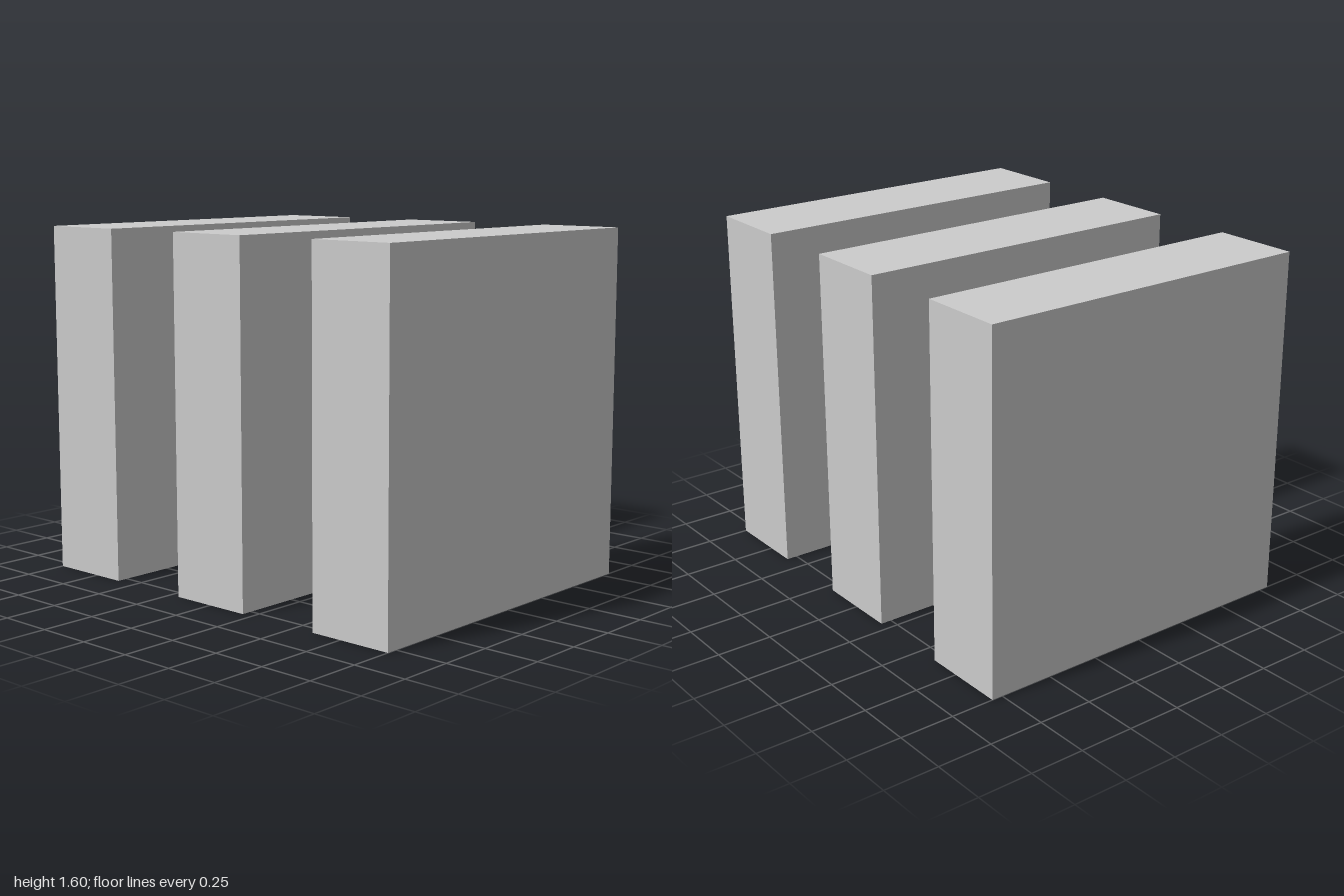
import * as THREE from 'three';

export function createModel() {
  const model = new THREE.Group();
  model.name = 'slabs';

  const material = new THREE.MeshStandardMaterial({ color: 0xcccccc });
  const width = 1.6, height = 1.6, depth = 0.4, spacing = 0.8;
  const geometry = new THREE.BoxGeometry(width, height, depth);

  // Three identical upright slabs, evenly spaced from back to front
  ['backSlab', 'middleSlab', 'frontSlab'].forEach((name, i) => {
    const slab = new THREE.Mesh(geometry, material);
    slab.name = name;
    slab.position.set(0, height / 2, (i - 1) * spacing);
    model.add(slab);
  });

  return model;
}
